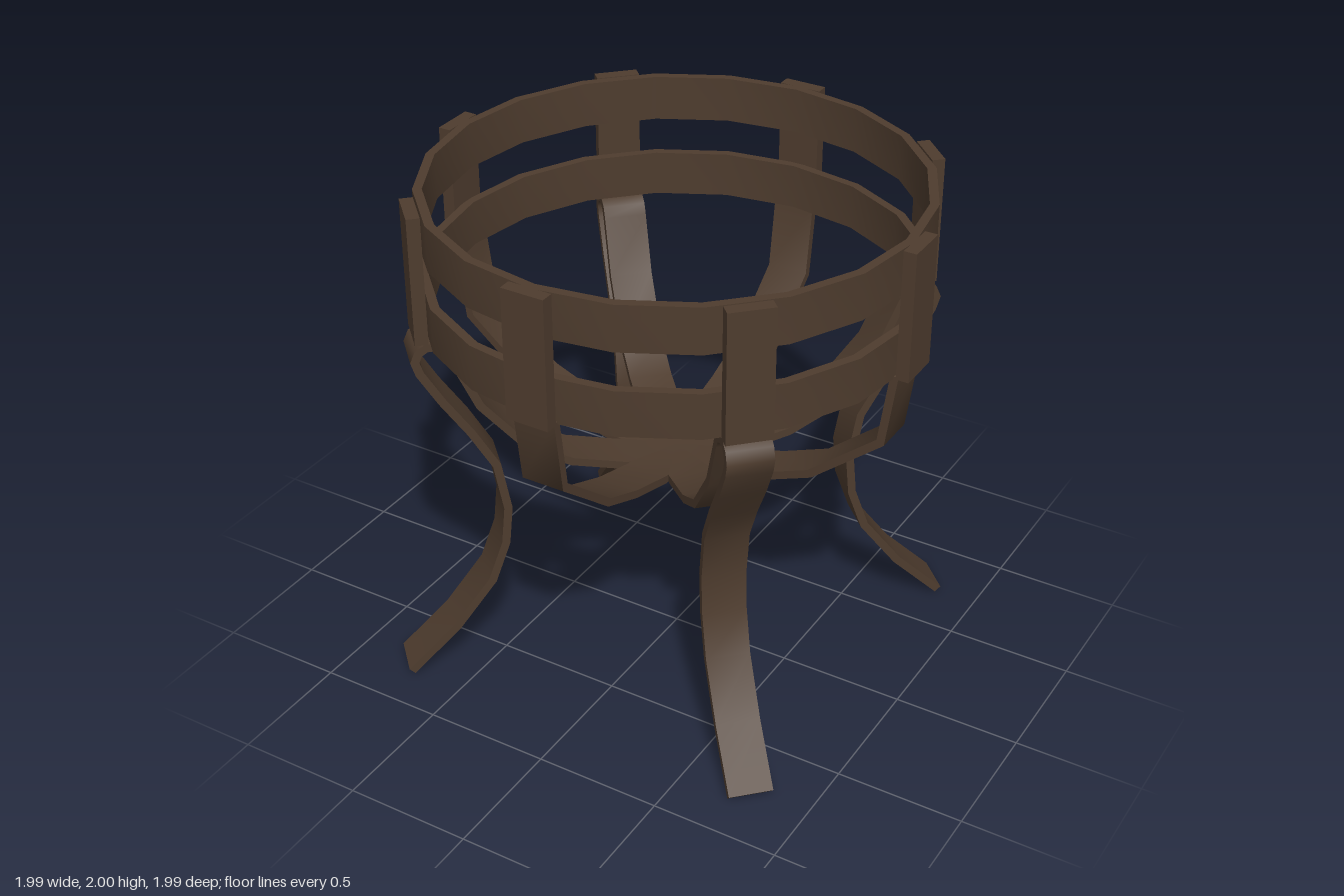
import * as THREE from 'three';
import { toCreasedNormals } from 'three/addons/utils/BufferGeometryUtils.js';

const WIDTH = 0.17;
const THICK = 0.032;

// Flat bar bent along a centre line of [radius, height] points
function strap(path) {
  const pts = path.map(([x, y]) => new THREE.Vector2(x, y));
  const sideA = [], sideB = [];
  pts.forEach((p, i) => {
    const d1 = pts[Math.max(i, 1)].clone().sub(pts[Math.max(i, 1) - 1]).normalize();
    const j = Math.min(i + 1, pts.length - 1);
    const d2 = pts[j].clone().sub(pts[j - 1]).normalize();
    const dir = d1.clone().add(d2).normalize();
    const half = THICK / 2 / dir.dot(d1);
    const n = new THREE.Vector2(-dir.y, dir.x).multiplyScalar(half);
    sideA.push(p.clone().add(n));
    sideB.unshift(p.clone().sub(n));
  });
  const geo = new THREE.ExtrudeGeometry(new THREE.Shape([...sideA, ...sideB]), {
    depth: WIDTH, bevelEnabled: false, steps: 1,
  });
  geo.translate(0, 0, -WIDTH / 2);
  return toCreasedNormals(geo, 0.9);
}

// Twenty-sided band with a rectangular section
function band(y0, y1) {
  const section = [[0.915, y0], [0.95, y0], [0.95, y1], [0.915, y1], [0.915, y0]];
  const geo = new THREE.LatheGeometry(section.map(([x, y]) => new THREE.Vector2(x, y)), 20);
  return toCreasedNormals(geo, 0.9);
}

export function createModel() {
  const iron = new THREE.MeshStandardMaterial({ color: 0x4e3c2e });
  iron.name = 'brown iron';
  const model = new THREE.Group();
  model.name = 'fireBasket';

  const add = (name, geo, angle = 0) => {
    const mesh = new THREE.Mesh(geo, iron);
    mesh.name = name;
    mesh.rotation.y = angle;
    model.add(mesh);
  };

  // Two hoops
  add('upperHoop', band(1.82, 2));
  add('lowerHoop', band(1.49, 1.67));

  // Eight uprights outside the hoops
  const upright = new THREE.BoxGeometry(0.05, 0.51, WIDTH);
  upright.translate(0.97, 1.745, 0);
  for (let i = 0; i < 8; i++) add('upright', upright, i * Math.PI / 4);

  // Straight-on ribs forming the bowl
  const rib = strap([
    [0.94, 1.5], [0.9, 1.21], [0.62, 0.98], [0.43, 0.905], [0.22, 0.848], [0, 0.845],
  ]);

  // Diagonal straps: foot, S-curved leg, curl at the top, then down into the bowl
  const leg = strap([
    [1.1, 0.015], [0.91, 0.2], [0.76, 0.4], [0.7, 0.57], [0.685, 0.73], [0.72, 0.93],
    [0.81, 1.09], [0.91, 1.24], [0.985, 1.37], [1.0, 1.42], [0.985, 1.455], [0.955, 1.475],
    [0.92, 1.475], [0.885, 1.455], [0.865, 1.42],
    [0.77, 1.2], [0.59, 0.985], [0.43, 0.9], [0.22, 0.848], [0, 0.845],
  ]);

  for (let i = 0; i < 4; i++) {
    add('bowlRib', rib, i * Math.PI / 2);
    add('leg', leg, i * Math.PI / 2 + Math.PI / 4);
  }
  return model;
}
